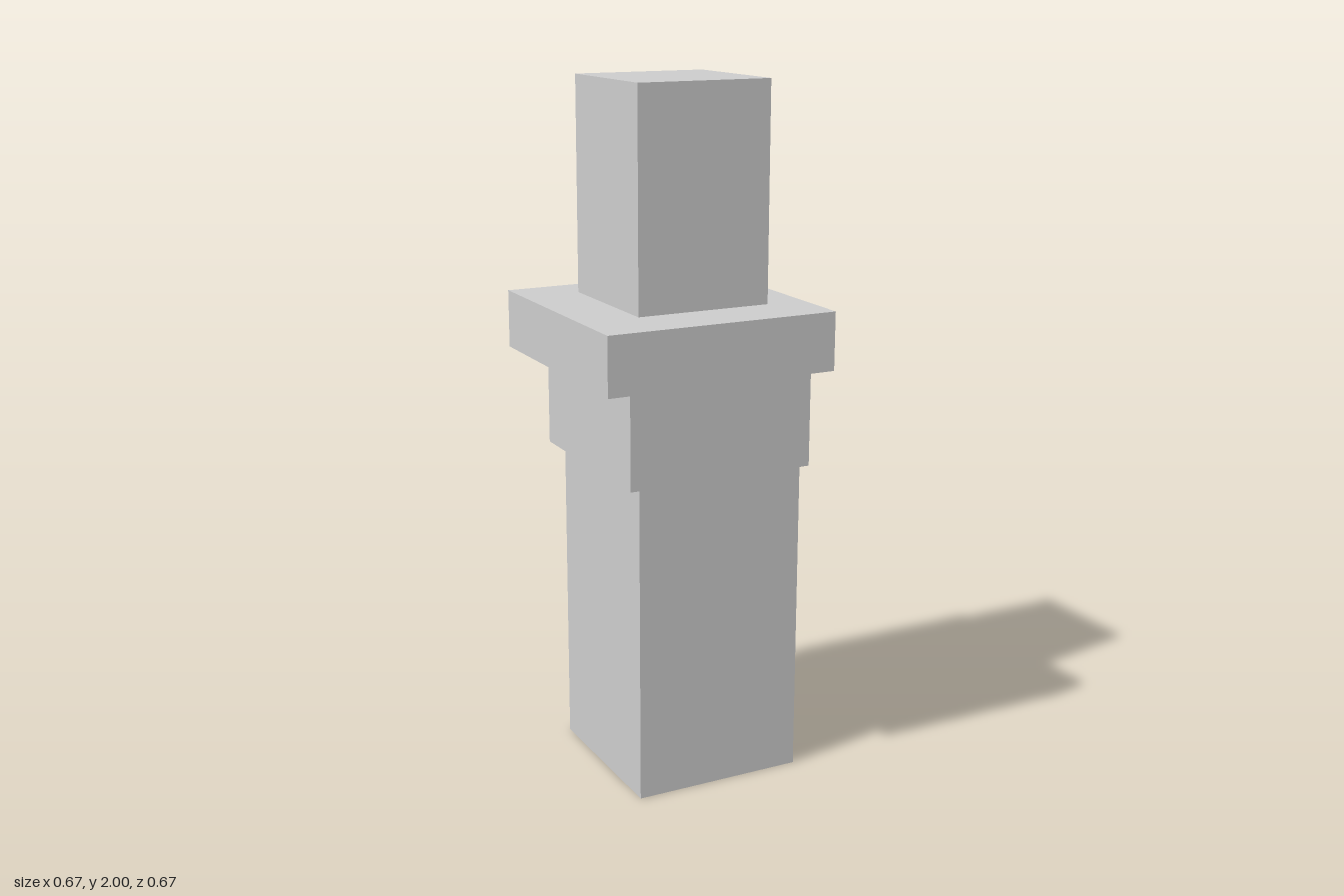
import * as THREE from 'three';

export function createModel() {
  const model = new THREE.Group();
  model.name = 'steppedPillar';
  const stone = new THREE.MeshStandardMaterial({ color: 0xcccccc });
  stone.name = 'light grey stone';

  // Square block spanning min..max along x and, mirrored, -max..-min along z
  function addBlock(name, min, max, bottom, top) {
    const width = max - min;
    const mesh = new THREE.Mesh(new THREE.BoxGeometry(width, top - bottom, width), stone);
    mesh.name = name;
    const centre = (min + max) / 2;
    mesh.position.set(centre, (bottom + top) / 2, -centre);
    model.add(mesh);
  }

  // Lower three blocks share flush left and back faces, stepping out at right and front
  addBlock('shaft', -0.168, 0.335, 0, 0.936);
  addBlock('neck', -0.217, 0.335, 0.936, 1.234);
  addBlock('capSlab', -0.335, 0.335, 1.234, 1.397);
  // Narrow post on top of the slab
  addBlock('upperPost', -0.168, 0.222, 1.397, 2);

  return model;
}
